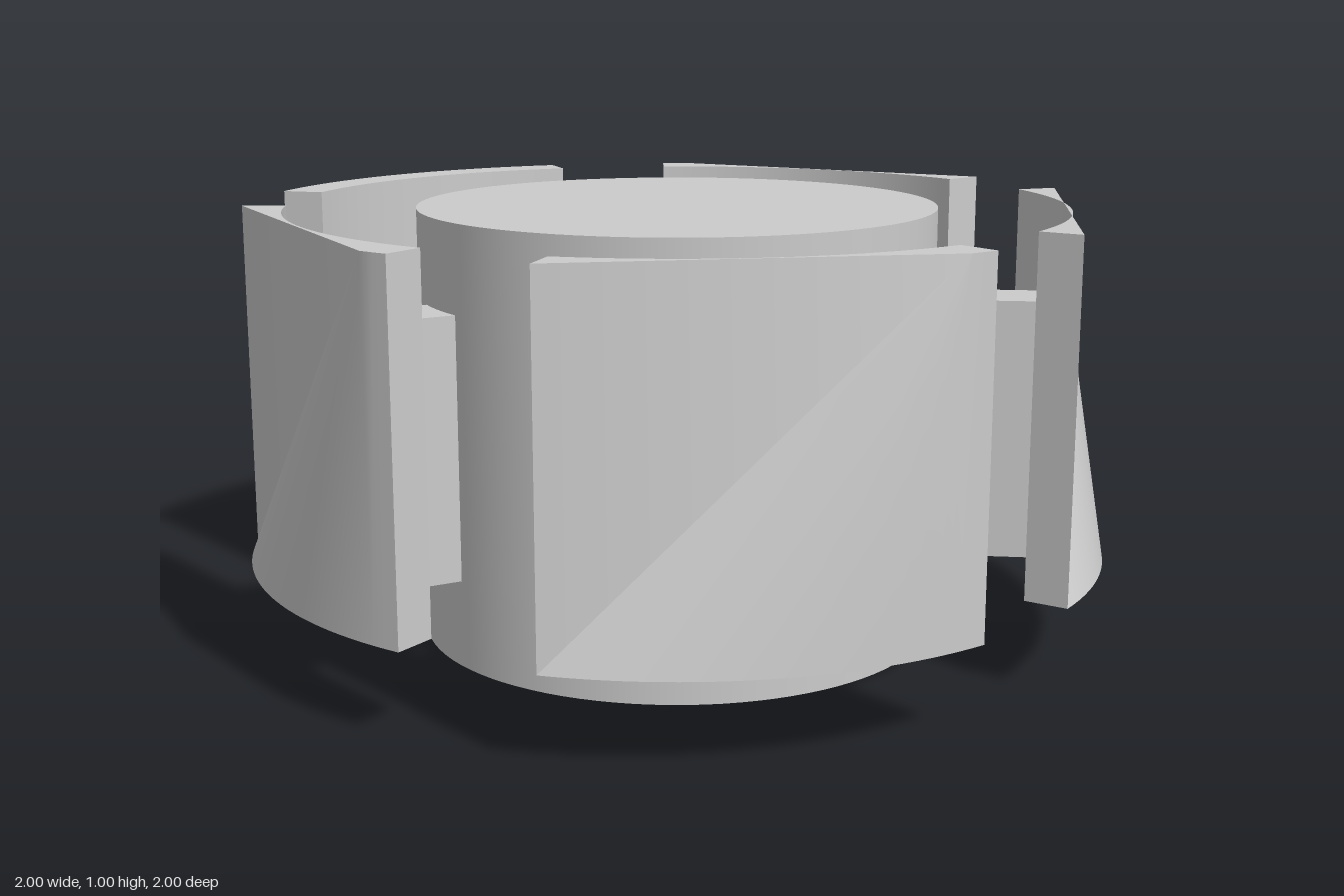
import * as THREE from 'three';
import { toCreasedNormals } from 'three/addons/utils/BufferGeometryUtils.js';

const INNER = 0.9, OUTER = 1, BOTTOM = 0.2, TOP = 1;
const rad = THREE.MathUtils.degToRad;
const SPAN = rad(54), STEPS = 27;

const at = (r, a, y) => [r * Math.cos(a), y, r * Math.sin(a)];

// Curved shoe; beyond the lead angle its outer wall leans in to a straight top edge.
function shoeGeometry(start, lead, curved) {
  const pos = [];
  const tri = (a, b, c) => pos.push(...a, ...b, ...c);
  const quad = (a, b, c, d) => { tri(a, b, c); tri(a, c, d); };
  const end = start + SPAN, apexAngle = start + lead;
  const mid = (apexAngle + end) / 2, half = (end - apexAngle) / 2;
  const rim = (a) => (curved || a <= apexAngle ? OUTER : OUTER * Math.cos(half) / Math.cos(a - mid));
  const apex = at(OUTER, apexAngle, TOP);

  for (let i = 0; i < STEPS; i++) {
    const a = start + (SPAN * i) / STEPS, b = start + (SPAN * (i + 1)) / STEPS;
    const ia = at(INNER, a, BOTTOM), ib = at(INNER, b, BOTTOM);
    const oa = at(OUTER, a, BOTTOM), ob = at(OUTER, b, BOTTOM);
    const iaT = at(INNER, a, TOP), ibT = at(INNER, b, TOP);
    const oaT = at(rim(a), a, TOP), obT = at(rim(b), b, TOP);
    quad(ia, ib, ibT, iaT);
    quad(iaT, ibT, obT, oaT);
    quad(oa, ob, ib, ia);
    if (curved || b <= apexAngle + 1e-6) quad(ob, oa, oaT, obT);
    else tri(ob, oa, apex);
  }
  if (!curved) tri(at(OUTER, end, BOTTOM), apex, at(OUTER, end, TOP));

  // Flat ends
  quad(at(OUTER, start, BOTTOM), at(INNER, start, BOTTOM), at(INNER, start, TOP), at(OUTER, start, TOP));
  quad(at(INNER, end, BOTTOM), at(OUTER, end, BOTTOM), at(OUTER, end, TOP), at(INNER, end, TOP));

  const geo = new THREE.BufferGeometry();
  geo.setAttribute('position', new THREE.Float32BufferAttribute(pos, 3));
  return toCreasedNormals(geo, rad(30));
}

export function createModel() {
  const model = new THREE.Group();
  model.name = 'hubWithShoes';
  const grey = new THREE.MeshStandardMaterial({ color: 0xcccccc, side: THREE.DoubleSide });
  const add = (name, geo) => {
    const mesh = new THREE.Mesh(geo, grey);
    mesh.name = name;
    model.add(mesh);
    return mesh;
  };

  // Central hub
  add('hub', new THREE.CylinderGeometry(0.6, 0.6, 1, 96)).position.y = 0.5;

  // Five shoes, each carried by a spoke
  const leads = [4, 0, 4, 4, 0];
  leads.forEach((lead, i) => {
    const start = rad(-86.6 + 72 * i), middle = start + SPAN / 2;
    add('shoe' + (i + 1), shoeGeometry(start, rad(lead), i === 4));
    const spoke = add('spoke' + (i + 1), new THREE.BoxGeometry(0.35, 0.6, 0.16));
    spoke.position.set(...at(0.723, middle, 0.5));
    spoke.rotation.y = -middle;
  });

  return model;
}
